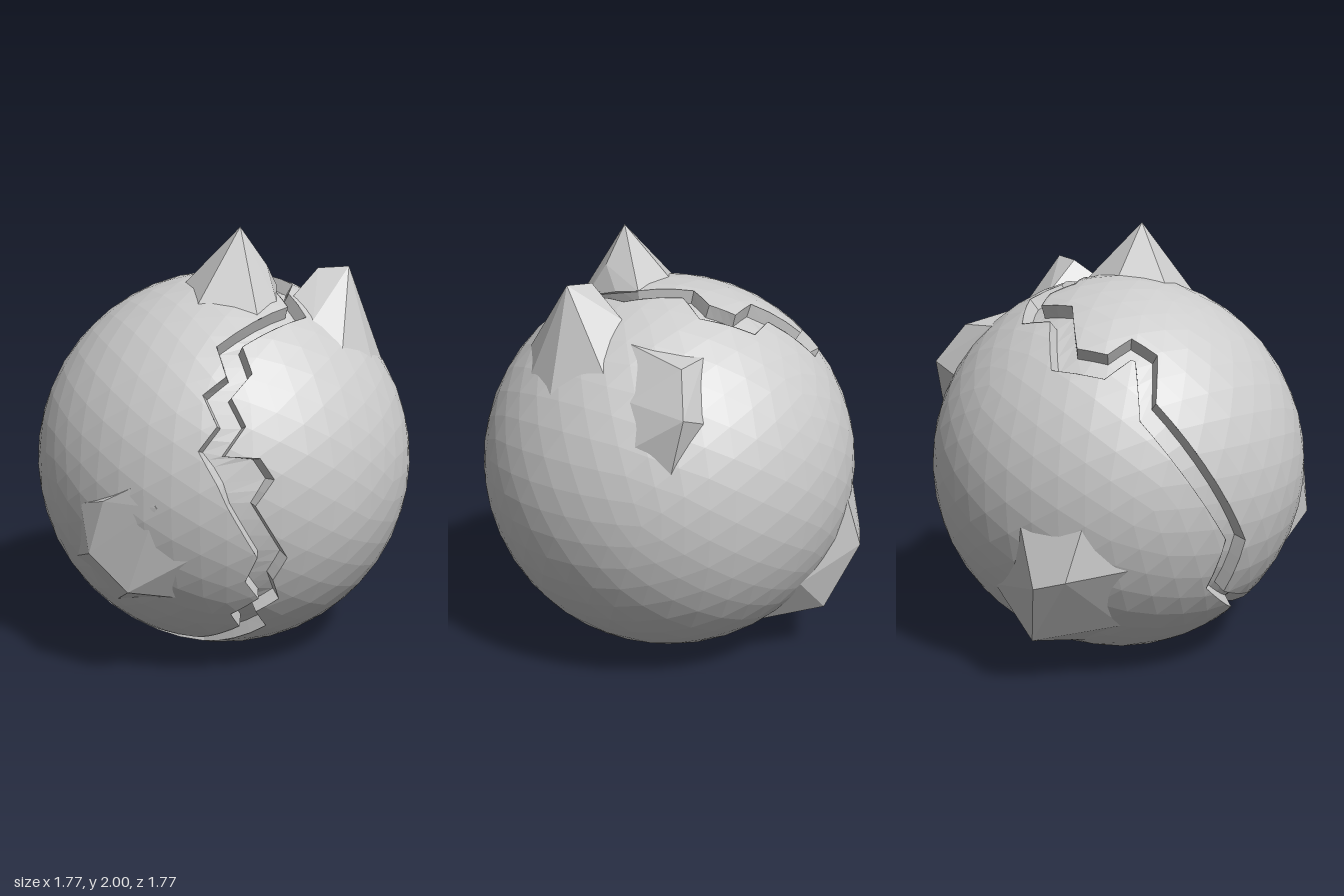
import * as THREE from 'three';
import { ConvexGeometry } from 'three/addons/geometries/ConvexGeometry.js';

const R = 0.885; // body radius, also the height of its centre
const V = (x, y, z) => new THREE.Vector3(x, y, z);
const material = new THREE.MeshStandardMaterial({ color: 0xcccccc, flatShading: true });
const crackMaterial = new THREE.MeshStandardMaterial({ color: 0xcccccc, flatShading: true, side: THREE.DoubleSide });

// Points on the unit sphere, given as front (x, y) or top (x, z) coordinates
const third = (a, b) => Math.sqrt(Math.max(0, R * R - a * a - b * b));
const onFront = (x, y) => V(x, y - R, third(x, y - R)).normalize();
const onTop = (x, z) => V(x, third(x, z), z).normalize();

// Crack edges as pairs: left bank, right bank, from the bottom front upwards
const frontPairs = [
  [-0.32, 0.16, -0.32, 0.11], [-0.11, 0.15, -0.1, 0.09], [0.06, 0.26, 0.18, 0.25],
  [0.02, 0.35, 0.13, 0.36], [0.14, 0.44, 0.23, 0.43], [0.08, 0.54, 0.2, 0.54],
  [0.13, 0.66, 0.26, 0.65], [0, 0.9, 0.12, 0.9], [-0.04, 0.99, 0.2, 1.01],
  [-0.08, 1.06, 0.14, 1.1], [-0.12, 1.13, -0.01, 1.11], [-0.04, 1.23, 0.08, 1.23],
  [-0.1, 1.35, 0.02, 1.34], [0, 1.42, 0.11, 1.43], [-0.04, 1.53, 0.07, 1.53],
];
const topPairs = [
  [0.28, 0.33, 0.36, 0.35], [0.23, 0.22, 0.29, 0.2], [0.22, 0, 0.32, 0],
  [0.07, -0.2, 0.16, -0.21], [0.11, -0.32, 0.22, -0.35], [0.05, -0.42, 0.05, -0.53],
  [-0.12, -0.38, -0.1, -0.49], [-0.32, -0.52, -0.28, -0.63], [-0.44, -0.45, -0.49, -0.51],
  [-0.46, -0.33, -0.52, -0.385], [-0.57, -0.28, -0.535, -0.375], [-0.67, -0.38, -0.66, -0.46],
];
const sidePairs = [
  [-0.861, -0.194, -0.02, -0.857, -0.17, -0.136],
  [-0.756, -0.453, -0.043, -0.766, -0.411, -0.16],
  [-0.62, -0.56, 0.28, -0.62, -0.61, 0.15],
];

// Closed list of bank pairs, with long stretches divided to follow the sphere
function crackPath() {
  const key = [
    ...frontPairs.map(([a, b, c, d]) => [onFront(a, b), onFront(c, d)]),
    ...topPairs.map(([a, b, c, d]) => [onTop(a, b), onTop(c, d)]),
    ...sidePairs.map(([a, b, c, d, e, f]) => [V(a, b, c).normalize(), V(d, e, f).normalize()]),
  ];
  const path = [];
  key.forEach(([l, r], i) => {
    const [l2, r2] = key[(i + 1) % key.length];
    const steps = Math.ceil(Math.max(l.distanceTo(l2), r.distanceTo(r2)) / 0.14);
    for (let s = 0; s < steps; s++) {
      path.push([l.clone().lerp(l2, s / steps).normalize(), r.clone().lerp(r2, s / steps).normalize()]);
    }
  });
  return path;
}

// Part of a polygon on the positive side of a plane through the centre
function clip(poly, n) {
  const out = [];
  poly.forEach((a, i) => {
    const b = poly[(i + 1) % poly.length];
    const da = a.dot(n), db = b.dot(n);
    if (da >= 0) out.push(a);
    if ((da > 0 && db < 0) || (da < 0 && db > 0)) out.push(a.clone().lerp(b, da / (da - db)));
  });
  return out.length > 2 ? out : [];
}

// Polygon minus a wedge bounded by planes through the centre
function subtract(poly, planes) {
  const out = [];
  let rest = poly;
  for (const n of planes) {
    const cut = clip(rest, n.clone().negate());
    if (cut.length) out.push(cut);
    rest = clip(rest, n);
    if (!rest.length) return [poly];
  }
  return out;
}

function fromPolygons(polys) {
  const pts = [];
  for (const p of polys) for (let i = 1; i < p.length - 1; i++) pts.push(p[0], p[i], p[i + 1]);
  const g = new THREE.BufferGeometry().setFromPoints(pts);
  g.computeVertexNormals();
  return g;
}

// Faceted ball with the crack cut out of its skin
function bodyGeometry(path) {
  const pos = new THREE.IcosahedronGeometry(R, 7).getAttribute('position');
  let polys = [];
  for (let i = 0; i < pos.count; i += 3) {
    polys.push([0, 1, 2].map((k) => new THREE.Vector3().fromBufferAttribute(pos, i + k)));
  }
  path.forEach(([l, r], i) => {
    const [l2, r2] = path[(i + 1) % path.length];
    for (const tri of [[l, l2, r2], [l, r2, r]]) {
      const mid = tri[0].clone().add(tri[1]).add(tri[2]).divideScalar(3);
      const planes = tri.map((a, k) => {
        const n = a.clone().cross(tri[(k + 1) % 3]);
        return n.dot(mid) < 0 ? n.negate() : n;
      });
      if (planes.some((n) => n.length() < 1e-5)) continue;
      const centre = mid.clone().multiplyScalar(R);
      polys = polys.flatMap((p) => (p[0].distanceTo(centre) > 0.4 ? [p] : subtract(p, planes)));
    }
  });
  return fromPolygons(polys);
}

// Two steep walls and a floor
function crackGeometry(path) {
  const rows = path.map(([l, r]) => [
    l.clone().multiplyScalar(R),
    l.clone().lerp(r, 0.1).multiplyScalar(R - 0.06),
    r.clone().lerp(l, 0.1).multiplyScalar(R - 0.06),
    r.clone().multiplyScalar(R),
  ]);
  const quads = [];
  rows.forEach((a, i) => {
    const b = rows[(i + 1) % rows.length];
    for (let k = 0; k < 3; k++) quads.push([a[k], a[k + 1], b[k + 1], b[k]]);
  });
  return fromPolygons(quads);
}

// Jagged outcrops: base points lie on the ball, tips stand clear of it
const outcrops = {
  topPeak: {
    tips: [[0.07, 2, 0.21], [0.19, 1.83, 0.22]],
    base: [[-0.18, 0.86, 0.13], [0, 0.88, 0], [0.22, 0.85, 0], [0.24, 0.84, 0.12],
      [0.23, 0.79, 0.31], [0.14, 0.75, 0.44], [-0.12, 0.79, 0.37]],
  },
  sidePeak: {
    tips: [[0.57, 1.81, 0.11], [0.43, 1.8, 0.09]],
    base: [[0.31, 0.8, 0.2], [0.39, 0.71, 0.34], [0.52, 0.59, 0.4], [0.67, 0.52, 0.25],
      [0.74, 0.47, 0.06], [0.64, 0.59, -0.16], [0.42, 0.77, -0.08]],
  },
  backSpur: {
    tips: [[0.64, 1.35, -0.6], [0.53, 1.53, -0.5]],
    base: [[0.35, 0.66, -0.48], [0.45, 0.68, -0.35], [0.5, 0.7, -0.18], [0.66, 0.5, -0.32],
      [0.72, 0.33, -0.4], [0.66, 0.22, -0.55], [0.5, 0.42, -0.6]],
  },
  lowerBackLump: {
    tips: [[-0.26, 0.23, -0.74], [-0.4, 0.53, -0.84], [-0.52, 0.57, -0.76]],
    base: [[-0.3, -0.1, -0.83], [-0.55, -0.08, -0.69], [-0.66, -0.28, -0.52], [-0.5, -0.6, -0.42],
      [-0.25, -0.74, -0.42], [0, -0.68, -0.57], [-0.02, -0.45, -0.76]],
  },
  frontLump: {
    tips: [[-0.6, 0.63, 0.69], [-0.43, 0.47, 0.75], [-0.53, 0.88, 0.73], [-0.3, 0.88, 0.83]],
    base: [[-0.64, -0.05, 0.61], [-0.35, 0.1, 0.8], [-0.1, -0.2, 0.85], [-0.22, -0.45, 0.73],
      [-0.5, -0.55, 0.5], [-0.68, -0.35, 0.45]],
  },
};

export function createModel() {
  const group = new THREE.Group();
  group.name = 'crackedBoulder';
  const add = (name, geometry, mat = material) => {
    const mesh = new THREE.Mesh(geometry, mat);
    mesh.name = name;
    mesh.position.y = R;
    group.add(mesh);
  };
  const path = crackPath();
  add('body', bodyGeometry(path));
  add('crack', crackGeometry(path), crackMaterial);
  for (const [name, { tips, base }] of Object.entries(outcrops)) {
    add(name, new ConvexGeometry([
      ...tips.map(([x, y, z]) => V(x, y - R, z)),
      ...base.map((p) => V(...p).setLength(R - 0.004)),
    ]));
  }
  return group;
}
